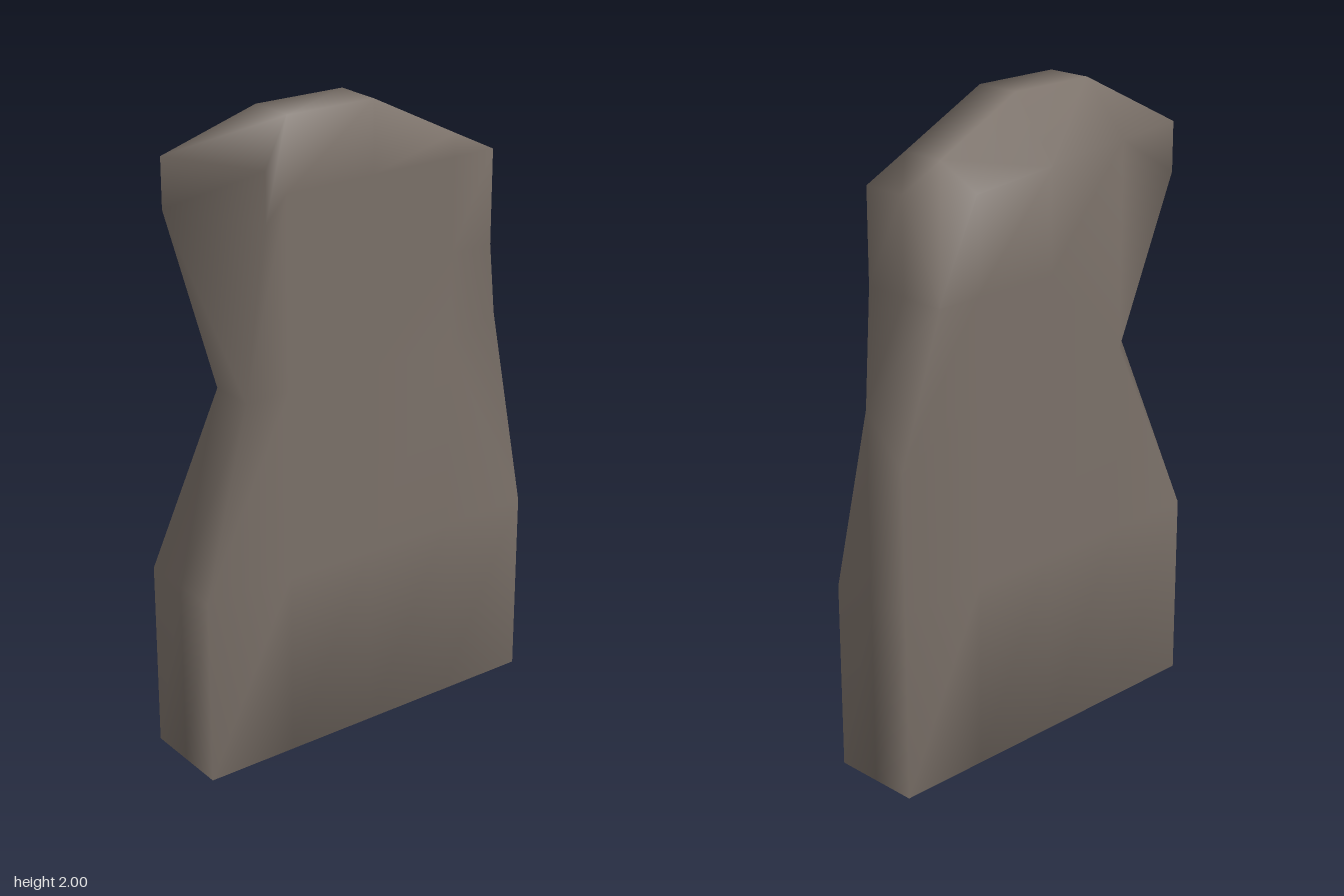
import * as THREE from 'three';
import { mergeVertices } from 'three/addons/utils/BufferGeometryUtils.js';

const D = 0.147; // half the slab's thickness
const W = 0.593; // half its width
const C = 0.297; // the outer columns of the front and back faces

// A level ring around the slab: left end, three columns, right end, right middle,
// then the same along the back, and the left middle.
function levelRing(y, { front, back, middle }) {
  const cols = [-C, 0, C];
  return [
    [front[0], y, D], ...cols.map((x) => [x, y, D]), [front[1], y, D],
    [middle[1], y, 0],
    [back[1], y, -D], ...cols.reverse().map((x) => [x, y, -D]), [back[0], y, -D],
    [middle[0], y, 0],
  ];
}

function slabGeometry() {
  const full = { front: [-W, W], back: [-W, W], middle: [-W, W] };

  // waist, notched deeper at the front right and the back left
  const waist = levelRing(1.19, { front: [-0.446, C], back: [-C, W], middle: [-0.446, W] });
  waist[6][1] = 1.037; // the back right corner is chipped lower

  // neck; its left end shares the waist's corners, so the chips there are single large facets
  const neck = levelRing(1.485, { front: [0, 0.443], back: [0, 0.443], middle: [0, 0.443] });
  neck[0] = neck[11] = waist[0];
  neck[10] = waist[11];
  neck[9] = waist[10];

  // shoulder: the back edge falls towards the right
  const shoulder = [
    [-0.37, 1.7, D], [-C, 1.78, D], [0, 1.78, D], [C, 1.78, D], [0.443, 1.78, D],
    [0.443, 1.78, 0],
    [0.443, 1.485, -D], [C, 1.78, -D], [0, 1.807, -D], [-C, 1.835, -D], [-0.52, 1.7, -D],
    [-0.52, 1.7, -D],
  ];
  // broken crown, with a bevel down to the back
  const crown = [
    [-0.37, 1.855, D], [-C, 2, D], [0, 2, D], [C, 1.852, D], [0.443, 1.78, D],
    [0.443, 1.78, 0],
    [0.443, 1.78, 0], [C, 1.852, 0], [0, 2, 0], [-C, 2, 0], [-0.52, 1.855, -D],
    [-0.52, 1.855, -D],
  ];

  const rings = [levelRing(0, full), levelRing(0.595, full), waist, neck, shoulder, crown];
  const n = crown.length;
  const index = [];
  const quad = (a, b, c, d) => index.push(a, b, c, a, c, d);

  // walls; two cells are split the other way, for the right notch and the dip in the crown
  const turned = ['2,4', '4,7'];
  for (let r = 0; r < rings.length - 1; r++) {
    for (let i = 0; i < n; i++) {
      const j = (i + 1) % n;
      const [a, b, c, d] = [r * n + i, r * n + j, (r + 1) * n + j, (r + 1) * n + i];
      if (turned.includes(`${r},${i}`)) quad(b, c, d, a);
      else quad(a, b, c, d);
    }
  }
  // underside: two middle cells and a fan at each end
  quad(1, 9, 8, 2);
  quad(2, 8, 7, 3);
  index.push(11, 10, 9, 11, 9, 1, 11, 1, 0);
  index.push(5, 4, 3, 5, 3, 7, 5, 7, 6);
  // top and the chipped left corner
  const t = (rings.length - 1) * n;
  quad(t + 1, t + 2, t + 8, t + 9);
  quad(t + 2, t + 3, t + 7, t + 8);
  quad(t + 3, t + 4, t + 5, t + 7);
  quad(t + 1, t + 9, t + 10, t);

  let geometry = new THREE.BufferGeometry();
  geometry.setAttribute('position', new THREE.Float32BufferAttribute(rings.flat(2), 3));
  geometry.setIndex(index);
  geometry = mergeVertices(geometry);
  geometry.computeVertexNormals();
  return geometry;
}

export function createModel() {
  const stone = new THREE.MeshStandardMaterial({ color: 0x7a7068 });
  stone.name = 'stone';
  const group = new THREE.Group();
  group.name = 'stoneSlab';
  const slab = new THREE.Mesh(slabGeometry(), stone);
  slab.name = 'slab';
  group.add(slab);
  return group;
}
